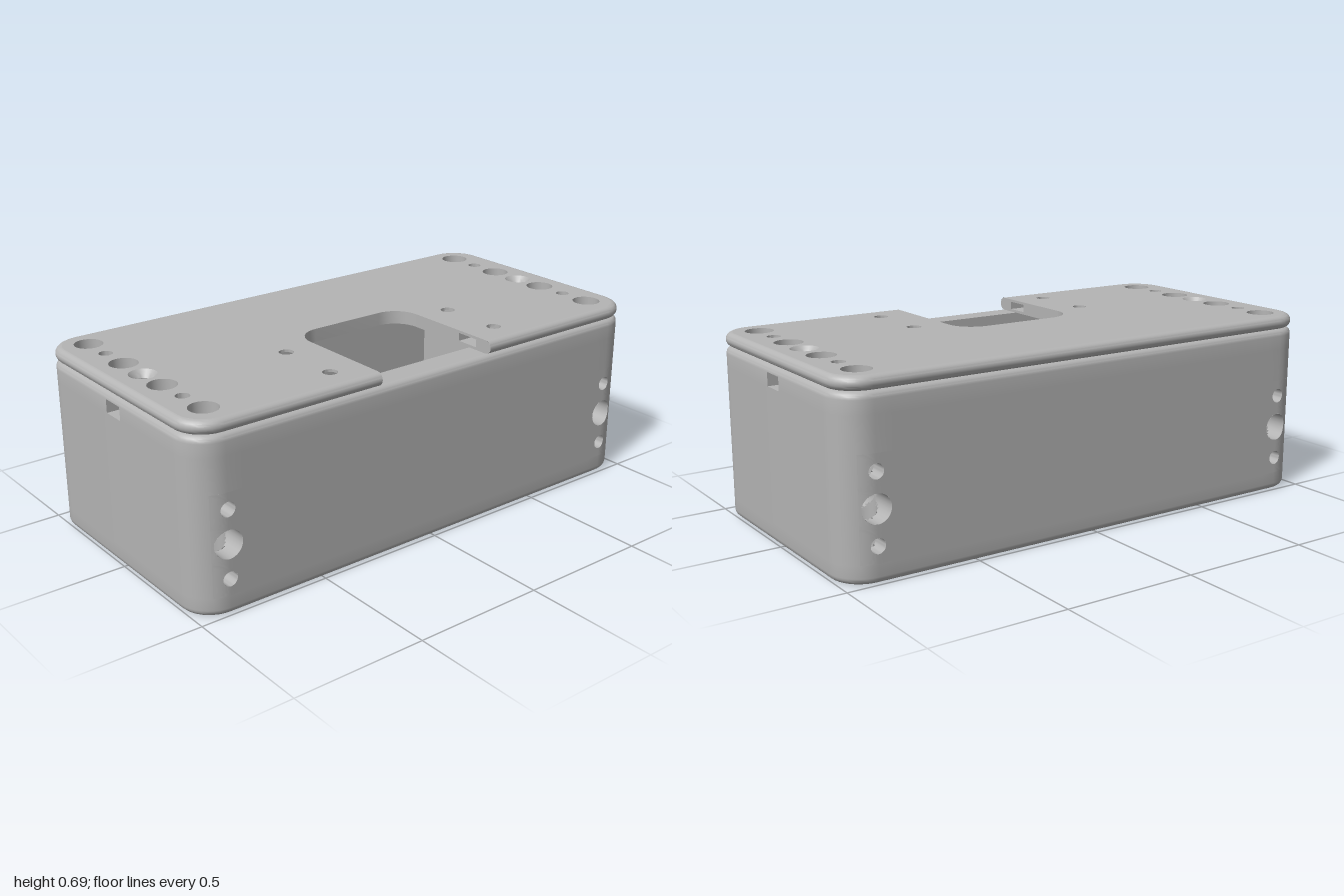
import * as THREE from 'three';
import { toCreasedNormals } from 'three/addons/utils/BufferGeometryUtils.js';

const HZ = 0.495, CX = 0.88, CZ = 0.375, R = 0.12;   // half depth, corner centre, corner radius
const H = 0.64, TOP = 0.69, E = 0.025;               // body height, lid top, edge rounding
const NX = 0.25, NZ = -0.01, NR = 0.1;               // lid notch
const NUT = 0.045;                                   // half width of a nut slot
const SLOT = [0.565, 0.615], LIDSLOT = [0.65, 0.68]; // heights of nut slots

// holes: [position, radius]
const vertical = [[-0.38, 0.052], [-0.255, 0.025], [-0.13, 0.052], [0, 0.028],
  [0.125, 0.052], [0.25, 0.025], [0.375, 0.052]];
const horizontal = [[0.13, 0.027], [0.255, 0.052], [0.38, 0.027]];
const screws = [-0.38, 0.38].flatMap(x => [0.125, 0.375].map(z => [x, z, 0.027]));
const cells = [0.07, 0.19, 0.32, 0.44];              // panels around the side holes

const within = (v, [a, b]) => v > a && v < b;

export function createModel() {
  const model = new THREE.Group();
  const body = new THREE.Group(), lid = new THREE.Group();
  body.name = 'boxBody';
  lid.name = 'lid';
  model.add(body, lid);
  const grey = new THREE.MeshStandardMaterial({ color: 0xb4b4b4, side: THREE.DoubleSide });
  grey.name = 'grey';

  const add = (group, name, geometry) => {
    const mesh = new THREE.Mesh(geometry, grey);
    mesh.name = name;
    group.add(mesh);
  };

  // surface over a grid of points, leaving out triangles whose centre is skipped
  const grid = (fn, nu, nv, skip) => {
    const pos = [];
    const tri = (...p) => {
      const m = [0, 1, 2].map(k => (p[0][k] + p[1][k] + p[2][k]) / 3);
      if (!skip || !skip(...m)) p.forEach(q => pos.push(...q));
    };
    for (let i = 0; i < nu; i++) for (let j = 0; j < nv; j++) {
      const a = fn(i, j), b = fn(i + 1, j), c = fn(i + 1, j + 1), d = fn(i, j + 1);
      tri(a, b, d);
      tri(b, c, d);
    }
    const g = new THREE.BufferGeometry();
    g.setAttribute('position', new THREE.Float32BufferAttribute(pos, 3));
    return toCreasedNormals(g, 0.6);
  };

  // upright wall along a path of [x, z]
  const wall = (path, y0, y1) => grid((i, j) => [path[i][0], j ? y1 : y0, path[i][1]], path.length - 1, 1);

  // flat face at height y from an outline of [x, z] with holes
  const shapeOf = pts => new THREE.Shape(pts.map(p => new THREE.Vector2(...p)));
  const circle = (x, z, r) => new THREE.Path().absarc(x, z, r, 0, Math.PI * 2, true);
  const flat = (shape, y, up) => {
    const g = new THREE.ShapeGeometry(shape, 12).rotateX(Math.PI / 2).translate(0, y, 0);
    if (up) g.index.array.reverse();
    g.computeVertexNormals();
    return g;
  };
  const rect = (x, z) => [[-x, -z], [x, -z], [x, z], [-x, z], [-x, -z]];
  const boltHoles = top => [-CX, CX].flatMap(x => vertical.map(([z, r]) => circle(x, z, top && z === 0 ? 0.05 : r)));

  // rounded outline, anticlockwise from the front notch edge
  const outline = inset => {
    const r = R - inset, z = HZ - inset, x = 1 - inset;
    const half = [[-NX, z], [NX, z], [0.82, z]];
    for (let a = 0; a <= 90; a += 10) {
      const t = a * Math.PI / 180;
      half.push([CX + r * Math.sin(t), CZ + r * Math.cos(t)]);
    }
    half.push([x, NUT], [x, -NUT]);
    for (let a = 90; a >= 0; a -= 10) {
      const t = a * Math.PI / 180;
      half.push([CX + r * Math.sin(t), -CZ - r * Math.cos(t)]);
    }
    half.push([0.82, -z]);
    return [...half, ...half.map(([px, pz]) => [-px, -pz])];
  };
  const loft = (rows, skip) => {
    const rings = rows.map(([inset]) => outline(inset)), n = rings[0].length;
    return grid((i, j) => [rings[j][i % n][0], rows[j][1], rings[j][i % n][1]], n, rows.length - 1, skip);
  };
  // quarter-round edge rows from angle a0 to a1 (degrees)
  const edge = (yc, a0, a1) => Array.from({ length: 6 }, (_, i) => {
    const t = (a0 + (a1 - a0) * i / 5) * Math.PI / 180;
    return [E * (1 - Math.cos(t)), yc + E * Math.sin(t)];
  });

  // body shell, with openings for the side holes and nut slots
  const rows = [...edge(E, -90, 0), [0, cells[0]], [0, cells[3]], [0, SLOT[0]], ...edge(H - E, 0, 90)];
  add(body, 'bodyShell', loft(rows, (x, y, z) => {
    const ax = Math.abs(x), az = Math.abs(z);
    return (ax > 0.82 && ax < 0.94 && az > 0.4 && within(y, [cells[0], cells[3]])) ||
      (ax > 0.99 && az < NUT && within(y, SLOT));
  }));
  const cavity = rect(0.72, 0.385), opening = rect(0.685, 0.34);
  const face = (outer, inner, holes) => {
    const s = shapeOf(outer);
    if (inner) s.holes.push(shapeOf(inner));
    s.holes.push(...holes);
    return s;
  };
  add(body, 'bodyBottom', flat(face(outline(E), opening, boltHoles()), 0, false));
  add(body, 'bodyRim', flat(face(outline(E), cavity, boltHoles()), H, true));
  add(body, 'cavityWalls', wall(cavity, 0.04, H));
  add(body, 'bottomLipWalls', wall(opening, 0, 0.04));
  add(body, 'bottomLipLedge', flat(face(cavity, opening, []), 0.04, true));

  // side hole panels and bores, following the rounded corners
  const depth = x => CZ + Math.sqrt(R * R - Math.max(0, Math.abs(x) - CX) ** 2);
  const N = 24;
  for (const s of [-1, 1]) {
    horizontal.forEach(([y, r], k) => {
      const mid = (cells[k] + cells[k + 1]) / 2, hy = (cells[k + 1] - cells[k]) / 2;
      for (const f of [-1, 1]) {
        add(body, 'sideHolePanel', grid((i, j) => {
          const a = -f * i / 48 * Math.PI * 2, c = Math.cos(a), q = Math.sin(a);
          const m = 1 / Math.max(Math.abs(c), Math.abs(q)), t = j / 4;
          const x = s * CX + (1 - t) * r * c + t * 0.06 * m * c;
          const py = (1 - t) * (y + r * q) + t * (mid + hy * m * q);
          return [x, py, f * depth(x)];
        }, 48, 4));
      }
      add(body, 'sideBore', grid((i, j) => {
        const a = -i / N * Math.PI * 2, x = s * CX + r * Math.cos(a);
        return [x, y + r * Math.sin(a), (j / 50 - 1) * depth(x)];
      }, N, 100, (x, py, z) => vertical.some(([vz, vr]) => Math.hypot(x - s * CX, z - vz) < vr)));
    });

    // vertical bores through body and lid; the middle one is countersunk
    vertical.forEach(([z, r]) => add(body, 'boltBore', grid((i, j) => {
      const a = i / N * Math.PI * 2, y = TOP * j / 80;
      const rr = z === 0 ? r + 0.022 * Math.max(0, (y - 0.665) / 0.025) : r;
      return [s * CX + rr * Math.cos(a), y, z + rr * Math.sin(a)];
    }, N, 80, (x, y) => (z === 0 && within(y, SLOT)) ||
      horizontal.some(([hy, hr]) => Math.hypot(x - s * CX, y - hy) < hr))));
  }

  // nut slot open towards d, ending in a hexagon point
  const nutSlot = (group, cx, cz, r, d, mouth, [y0, y1]) => {
    const path = [[mouth, cz + NUT], [cx - d * 0.026, cz + NUT], [cx - d * 0.052, cz],
      [cx - d * 0.026, cz - NUT], [mouth, cz - NUT]];
    add(group, 'nutSlotWalls', wall(d > 0 ? path : [...path].reverse(), y0, y1));
    add(group, 'nutSlotFloor', flat(face(path, null, [circle(cx, cz, r)]), y0, true));
    add(group, 'nutSlotCeiling', flat(face(path, null, [circle(cx, cz, r)]), y1, false));
  };
  for (const s of [-1, 1]) nutSlot(body, s * CX, 0, 0.028, s, s, SLOT);

  // lid with full-round edge, open at the front notch
  add(lid, 'lidEdge', loft([...edge(H + E, -90, 0), ...edge(H + E, 0, 90).slice(1)],
    (x, y, z) => Math.abs(x) < NX && z > 0.4));
  const notch = [];
  for (let a = 180; a <= 360; a += 10) {
    const t = a * Math.PI / 180, side = a <= 270 ? -1 : 1;
    notch.push([side * (NX - NR) + NR * Math.cos(t), NZ + NR + NR * Math.sin(t)]);
    if (a === 270) notch.push([NX - NR, NZ]);
  }
  const lidOutline = [...outline(E).slice(1), outline(E)[0], ...notch];
  const lidHoles = top => [...boltHoles(top), ...screws.map(p => circle(...p))];
  add(lid, 'lidTop', flat(face(lidOutline, null, lidHoles(true)), TOP, true));
  add(lid, 'lidUnderside', flat(face(lidOutline, null, lidHoles(false)), H, false));
  add(lid, 'notchBack', wall(notch, H, TOP));

  // notch sides with slot mouths
  for (const s of [-1, 1]) {
    const side = shapeOf([[NZ + NR, H], ...edge(H + E, -90, 90).map(([i, y]) => [HZ - i, y]), [NZ + NR, TOP]]);
    for (const z of [0.125, 0.375]) {
      side.holes.push(shapeOf([[z - NUT, LIDSLOT[0]], [z - NUT, LIDSLOT[1]], [z + NUT, LIDSLOT[1]], [z + NUT, LIDSLOT[0]]]));
    }
    const g = new THREE.ShapeGeometry(side).rotateY(-Math.PI / 2).translate(s * NX, 0, 0);
    if (s < 0) g.index.array.reverse();
    g.computeVertexNormals();
    add(lid, 'notchSide', g);
  }

  // lid screw holes with their nut slots
  for (const [x, z, r] of screws) {
    const s = Math.sign(x);
    add(lid, 'screwHole', grid((i, j) => {
      const a = i / N * Math.PI * 2;
      return [x + r * Math.cos(a), H + (TOP - H) * j / 5, z + r * Math.sin(a)];
    }, N, 5, (px, y) => within(y, LIDSLOT)));
    nutSlot(lid, x, z, r, -s, s * NX, LIDSLOT);
  }
  return model;
}
